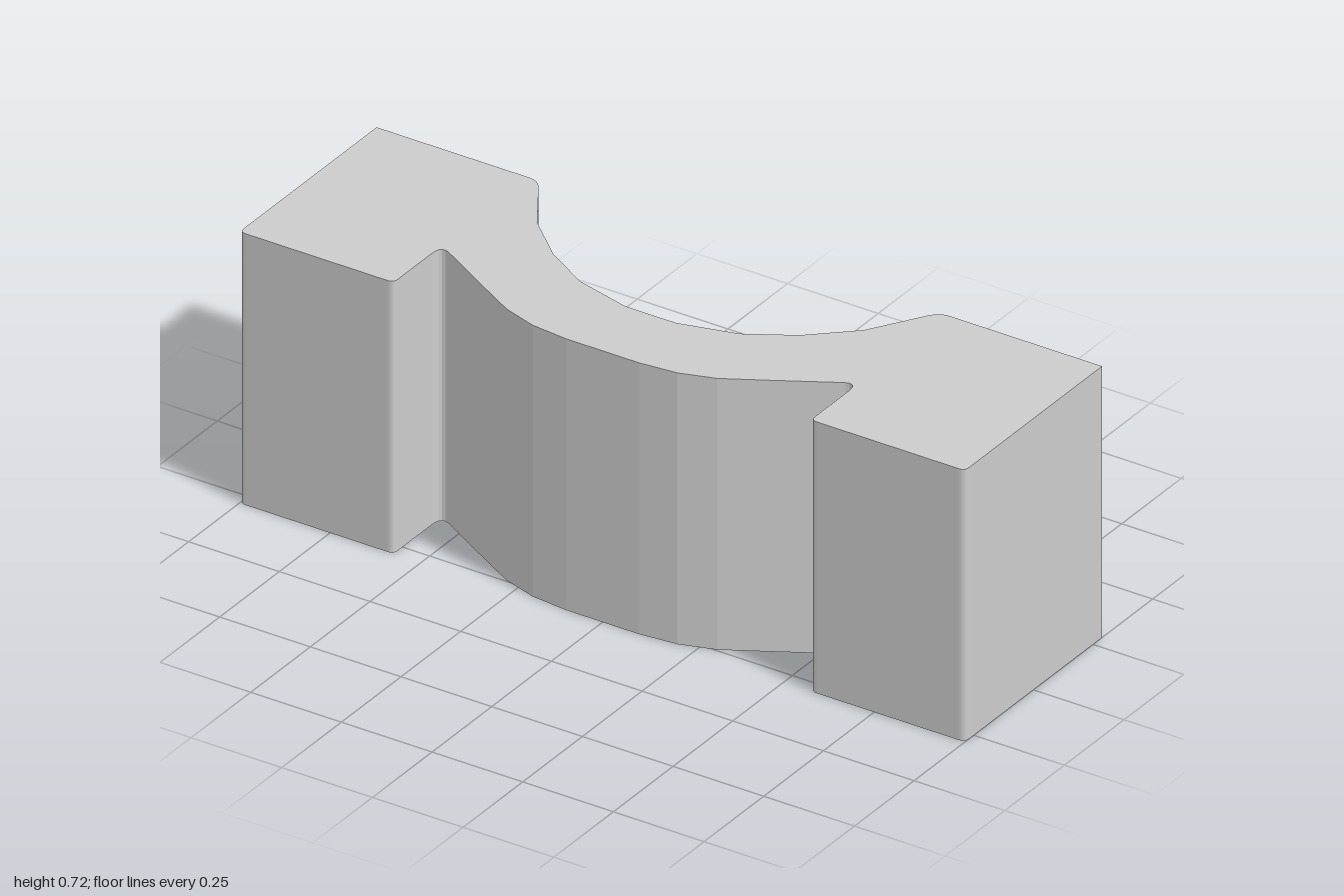
import * as THREE from 'three';

const HEIGHT = 0.722;

// Right half of the plan outline (x, z), from the front centre round to the back centre.
// Entries with a third item are sharp corners rounded between the given start and end points.
const halfOutline = [
  // front face of the curved web
  [0.1, 0.285], [0.2, 0.275], [0.29, 0.246], [0.39, 0.19],
  // notch beside the block
  { from: [0.535, 0.107], corner: [0.575, 0.08], to: [0.575, 0.127] },
  // front corners of the end block
  { from: [0.575, 0.27], corner: [0.575, 0.287], to: [0.592, 0.287] },
  { from: [0.983, 0.287], corner: [1, 0.287], to: [1, 0.27] },
  // square back corner, then the rounded lip of the cradle
  [1, -0.288],
  { from: [0.58, -0.288], corner: [0.552, -0.288], to: [0.535, -0.26] },
  // faceted cradle arc
  [0.45, -0.125], [0.34, -0.025], [0.22, 0.046], [0.07, 0.085],
];

function expand(items) {
  return items.flatMap((item) => {
    if (Array.isArray(item)) return [new THREE.Vector2(...item)];
    const [a, b, c] = [item.from, item.corner, item.to].map((p) => new THREE.Vector2(...p));
    return new THREE.QuadraticBezierCurve(a, b, c).getPoints(6);
  });
}

export function createModel() {
  const group = new THREE.Group();
  group.name = 'saddleClamp';

  // Mirror the half outline and extrude it to full height
  const right = expand(halfOutline);
  const left = right.map((p) => new THREE.Vector2(-p.x, p.y)).reverse();
  const geometry = new THREE.ExtrudeGeometry(new THREE.Shape([...right, ...left]), {
    depth: HEIGHT,
    bevelEnabled: false,
  });
  geometry.rotateX(Math.PI / 2);
  geometry.translate(0, HEIGHT, 0);

  const body = new THREE.Mesh(
    geometry,
    new THREE.MeshStandardMaterial({ color: 0xcccccc, flatShading: true }),
  );
  body.name = 'saddleBody';
  group.add(body);
  return group;
}
